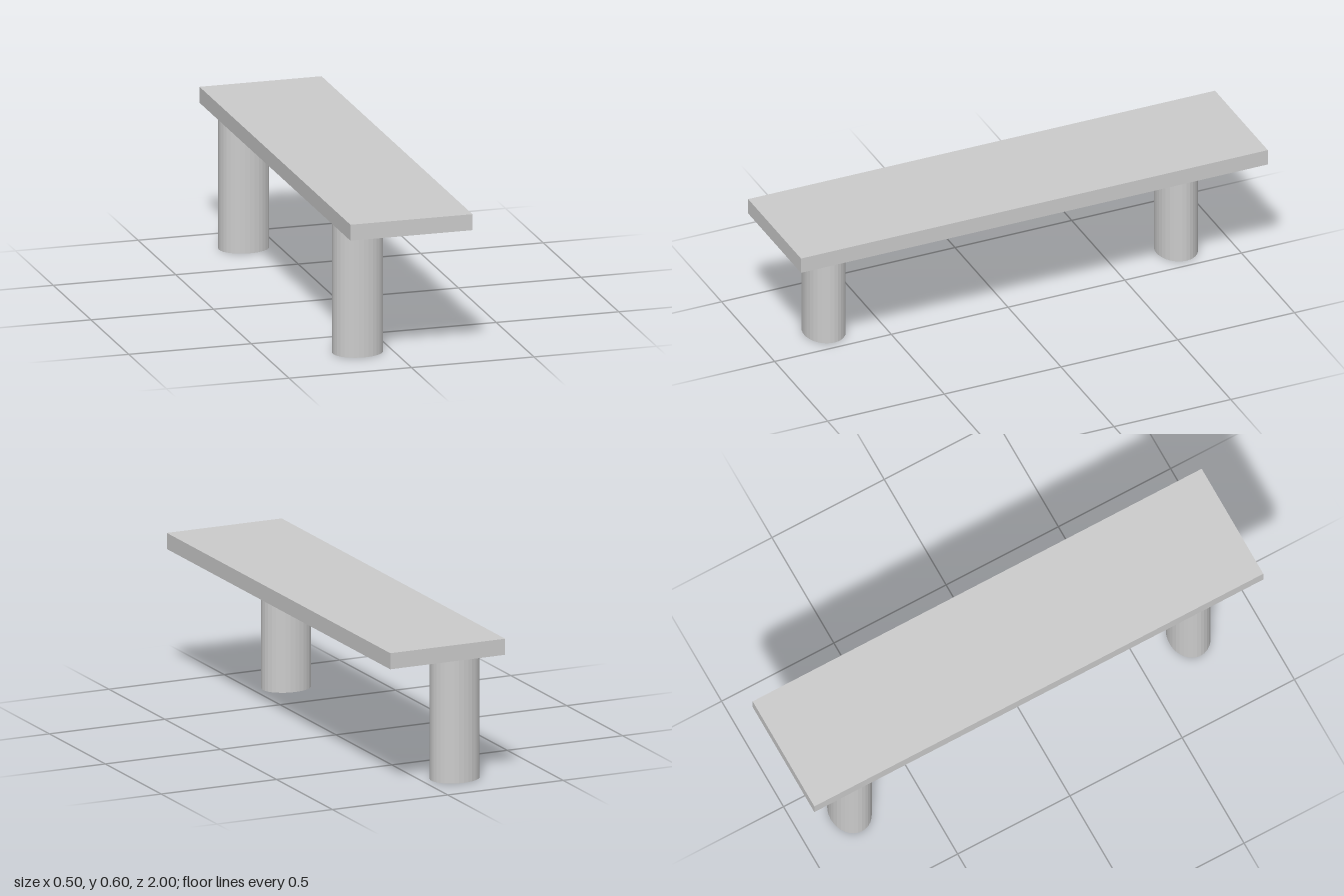
import * as THREE from 'three';

export function createModel() {
  const group = new THREE.Group();
  const material = new THREE.MeshStandardMaterial({ color: 0xcccccc, flatShading: true });
  const height = 0.602, thickness = 0.065, legHeight = height - thickness;

  // Long flat slab
  const top = new THREE.Mesh(new THREE.BoxGeometry(0.498, thickness, 2), material);
  top.name = 'benchTop';
  top.position.y = height - thickness / 2;
  group.add(top);

  // Two oval legs, set toward the right edge
  const legGeometry = new THREE.CylinderGeometry(1, 1, legHeight, 32).scale(0.101, 1, 0.083);
  for (const [name, z] of [['frontLeg', 0.728], ['backLeg', -0.781]]) {
    const leg = new THREE.Mesh(legGeometry, material);
    leg.name = name;
    leg.position.set(-0.136, legHeight / 2, z);
    group.add(leg);
  }
  return group;
}
